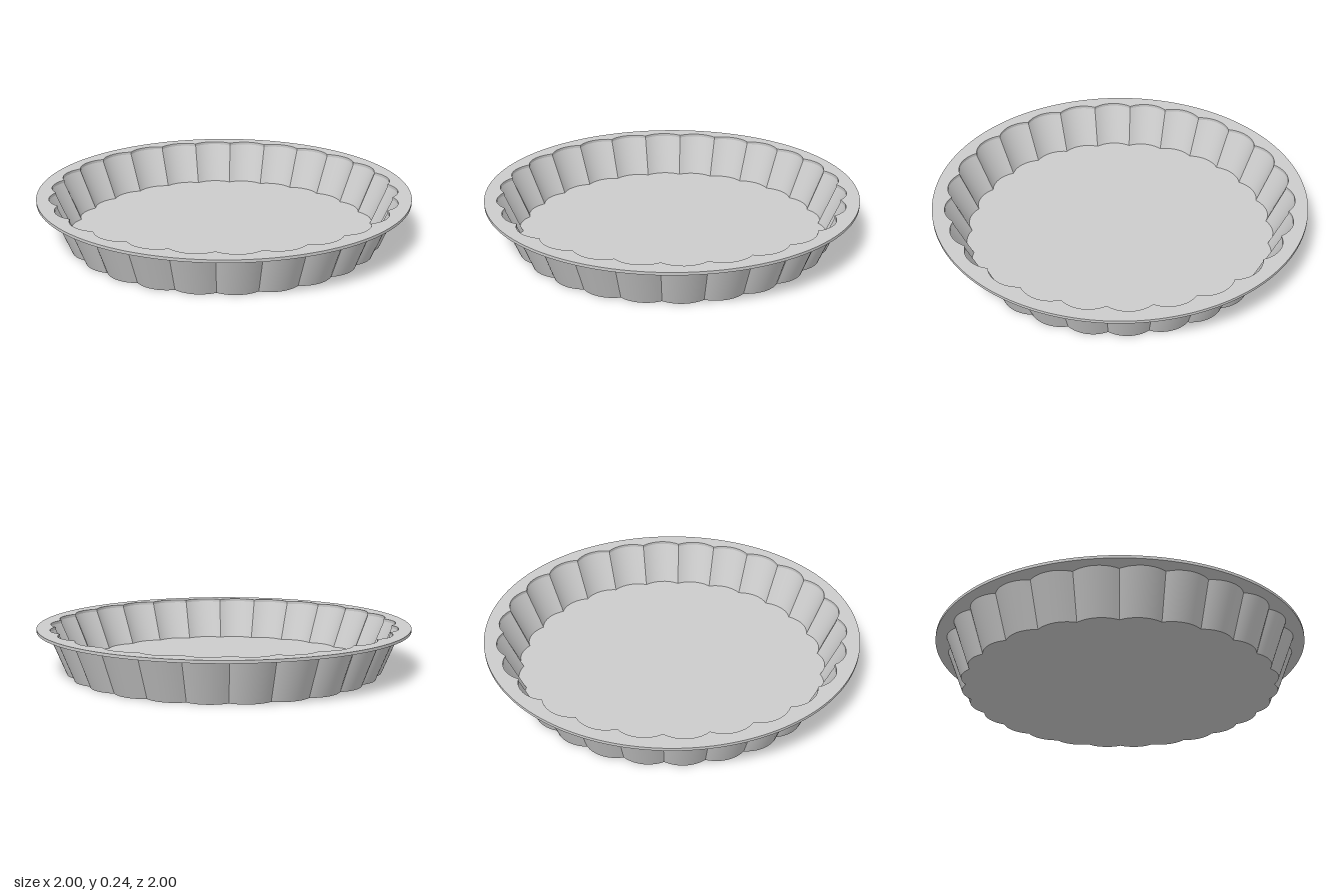
import * as THREE from 'three';
import { toCreasedNormals } from 'three/addons/utils/BufferGeometryUtils.js';

const LOBES = 26, STEPS = 10;
const HEIGHT = 0.24, LIP = 0.015, FLOOR = 0.012;
const material = new THREE.MeshStandardMaterial({ color: 0xcccccc });

// Points of one scallop: a circular arc between two cusps
function lobePoints(k, cuspR, peakR) {
  const half = Math.PI / LOBES;
  const w = cuspR * Math.sin(half);
  const s = peakR - cuspR * Math.cos(half);
  const R = (w * w + s * s) / (2 * s);
  const phi = Math.asin(w / R);
  const axis = (2 * k + 1) * half;
  const points = [];
  for (let i = 0; i <= STEPS; i++) {
    const t = phi * (2 * i / STEPS - 1);
    points.push(new THREE.Vector2(peakR - R + R * Math.cos(t), R * Math.sin(t))
      .rotateAround(new THREE.Vector2(), axis));
  }
  return points;
}

// Closed fluted outline
function outline(cuspR, peakR) {
  const points = [];
  for (let k = 0; k < LOBES; k++) points.push(...lobePoints(k, cuspR, peakR).slice(0, STEPS));
  return points;
}

// Fluted wall between two outlines; each lobe keeps its own vertices so cusps stay sharp
function wallGeometry(low, high, inward) {
  const position = [], index = [];
  for (let k = 0; k < LOBES; k++) {
    const base = position.length / 3;
    const a = lobePoints(k, low.cusp, low.peak);
    const b = lobePoints(k, high.cusp, high.peak);
    for (let i = 0; i <= STEPS; i++) {
      position.push(a[i].x, low.y, -a[i].y, b[i].x, high.y, -b[i].y);
      if (i === STEPS) continue;
      const p = base + 2 * i;
      if (inward) index.push(p, p + 3, p + 2, p, p + 1, p + 3);
      else index.push(p, p + 2, p + 3, p, p + 3, p + 1);
    }
  }
  const geometry = new THREE.BufferGeometry();
  geometry.setAttribute('position', new THREE.Float32BufferAttribute(position, 3));
  geometry.setIndex(index);
  geometry.computeVertexNormals();
  return geometry;
}

// Flat horizontal plate standing on height y
function plateGeometry(shape, y, depth) {
  const geometry = new THREE.ExtrudeGeometry(shape, { depth, bevelEnabled: false, curveSegments: 128 });
  geometry.rotateX(-Math.PI / 2).translate(0, y, 0);
  return toCreasedNormals(geometry, 0.5);
}

export function createModel() {
  const group = new THREE.Group();
  group.name = 'flutedTartPan';
  const add = (name, geometry) => {
    const mesh = new THREE.Mesh(geometry, material);
    mesh.name = name;
    group.add(mesh);
  };

  // Fluted base plate
  add('floor', plateGeometry(new THREE.Shape(outline(0.825, 0.852)), 0, FLOOR));

  // Sloping side, outer and inner skins
  const underLip = HEIGHT - LIP;
  add('outerWall', wallGeometry(
    { cusp: 0.825, peak: 0.852, y: 0 }, { cusp: 0.908, peak: 0.943, y: underLip }, false));
  add('innerWall', wallGeometry(
    { cusp: 0.812, peak: 0.839, y: FLOOR }, { cusp: 0.9, peak: 0.935, y: underLip }, true));

  // Flat round lip with a fluted opening
  const lip = new THREE.Shape().absarc(0, 0, 1, 0, Math.PI * 2, false);
  lip.holes.push(new THREE.Path(outline(0.9, 0.935)));
  add('lip', plateGeometry(lip, underLip, LIP));

  return group;
}
